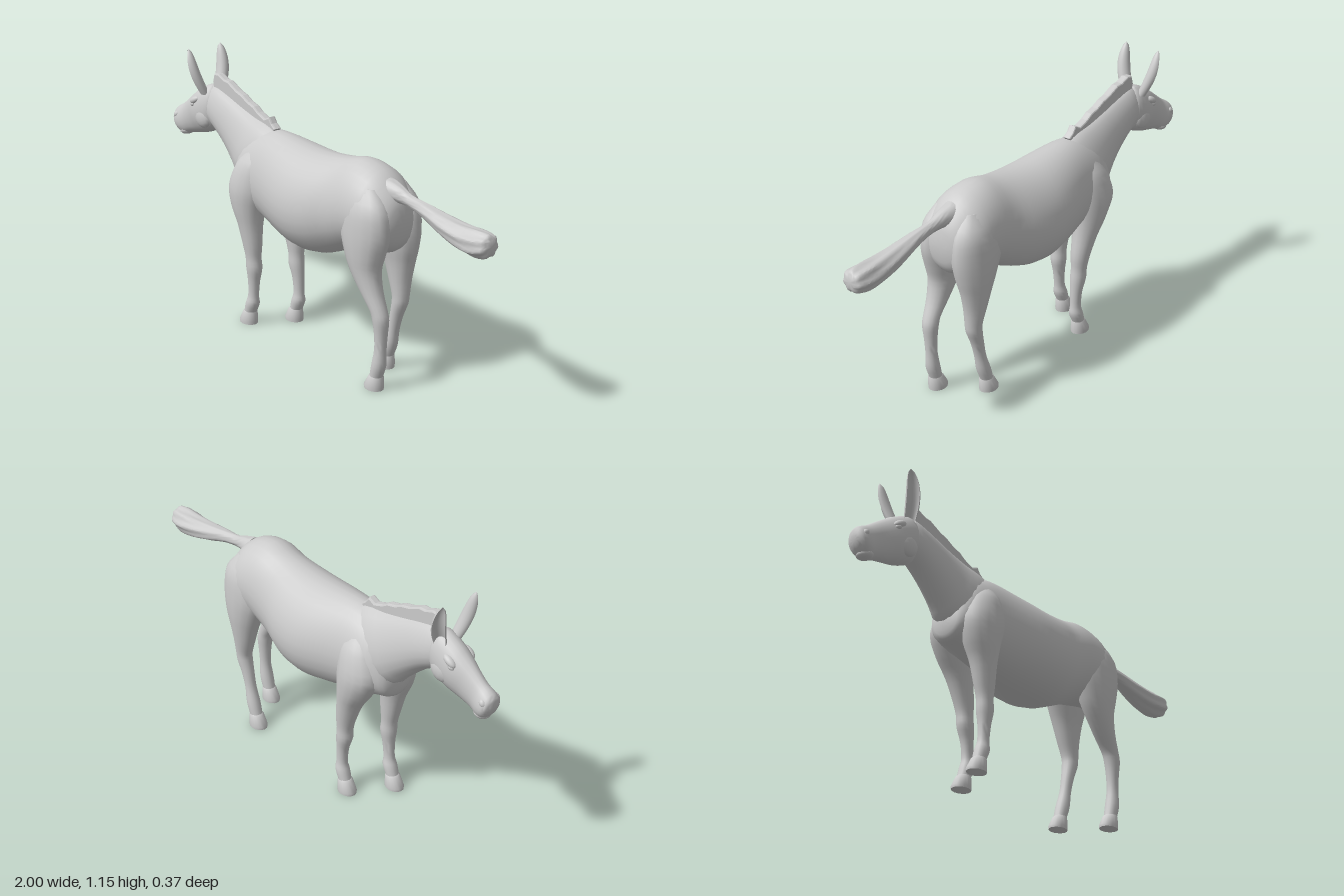
import * as THREE from 'three';
import { toCreasedNormals } from 'three/addons/utils/BufferGeometryUtils.js';
import { ParametricGeometry } from 'three/addons/geometries/ParametricGeometry.js';

const coat = new THREE.MeshStandardMaterial({ color: 0xcccccc, side: THREE.DoubleSide });
coat.name = 'grey coat';

// Skin over elliptical sections [x, y, z, radius in the xy plane, radius in z, angle of the first radius in degrees].
function loft(rows, { sides = 20, steps = 3, taper = 0, ripple = 0 } = {}) {
  const curve = (f) => new THREE.CatmullRomCurve3(rows.map(f), false, 'catmullrom', 0.5);
  const centres = curve((r) => new THREE.Vector3(r[0], r[1], r[2]));
  const sizes = curve((r) => new THREE.Vector3(r[3], r[4], r[5] * Math.PI / 180));
  const count = (rows.length - 1) * steps;
  const pos = [], index = [];
  for (let i = 0; i <= count; i++) {
    const c = centres.getPoint(i / count), s = sizes.getPoint(i / count);
    for (let j = 0; j < sides; j++) {
      const a = j / sides * Math.PI * 2;
      const wave = 1 + ripple * Math.sin(7 * a + i * 0.35) * Math.min(1, i / count * 1.5);
      const u = s.x * Math.cos(a) * wave;
      const w = s.y * Math.sin(a) * wave * (1 - taper * Math.cos(a));
      pos.push(c.x + u * Math.cos(s.z), c.y + u * Math.sin(s.z), c.z + w);
    }
  }
  for (let i = 0; i < count; i++) for (let j = 0; j < sides; j++) {
    const a = i * sides + j, b = i * sides + (j + 1) % sides;
    index.push(a, b, a + sides, b, b + sides, a + sides);
  }
  // end caps
  const first = pos.length / 3, end = count * sides;
  pos.push(...centres.getPoint(0).toArray(), ...centres.getPoint(1).toArray());
  for (let j = 0; j < sides; j++) {
    const k = (j + 1) % sides;
    index.push(first, k, j, first + 1, end + j, end + k);
  }
  // turn the faces outward
  const p = (i) => new THREE.Vector3().fromArray(pos, index[i] * 3);
  let volume = 0;
  for (let i = 0; i < index.length; i += 3) volume += p(i).dot(p(i + 1).cross(p(i + 2)));
  if (volume < 0) index.reverse();
  const g = new THREE.BufferGeometry();
  g.setAttribute('position', new THREE.Float32BufferAttribute(pos, 3));
  g.setIndex(index);
  return toCreasedNormals(g, 0.8);
}

export function createModel() {
  const model = new THREE.Group();
  model.name = 'donkey';
  const add = (name, geometry) => {
    const mesh = new THREE.Mesh(geometry, coat);
    mesh.name = name;
    model.add(mesh);
    return mesh;
  };

  // barrel, chest and rump: [x, centre height, half height, half width]
  add('body', loft([
    [-0.492, 0.64, 0.03, 0.025], [-0.475, 0.65, 0.09, 0.08], [-0.42, 0.69, 0.15, 0.115],
    [-0.34, 0.695, 0.185, 0.132], [-0.25, 0.692, 0.203, 0.145], [-0.1, 0.67, 0.215, 0.178],
    [0, 0.662, 0.218, 0.186], [0.1, 0.672, 0.213, 0.176], [0.2, 0.7, 0.2, 0.152],
    [0.3, 0.732, 0.188, 0.15], [0.4, 0.73, 0.168, 0.148], [0.465, 0.71, 0.138, 0.118],
    [0.502, 0.705, 0.09, 0.078], [0.515, 0.705, 0.03, 0.03],
  ].map(([x, y, h, w]) => [x, y, 0, h, w, 90]), { sides: 28, taper: 0.08 }));

  add('neck', loft([
    [-0.29, 0.73, 0, 0.15, 0.1, 50], [-0.39, 0.765, 0, 0.168, 0.1, 55],
    [-0.47, 0.8, 0, 0.14, 0.083, 62], [-0.55, 0.84, 0, 0.118, 0.07, 70],
    [-0.63, 0.88, 0, 0.103, 0.064, 79], [-0.7, 0.905, 0, 0.093, 0.058, 88], [-0.74, 0.9, 0, 0.07, 0.045, 95],
  ], { taper: 0.2 }));

  add('head', loft([
    [-0.685, 0.89, 0, 0.06, 0.04, 90], [-0.71, 0.897, 0, 0.1, 0.06, 95], [-0.77, 0.87, 0, 0.1, 0.064, 107],
    [-0.815, 0.847, 0, 0.093, 0.06, 110], [-0.865, 0.823, 0, 0.082, 0.047, 111],
    [-0.918, 0.798, 0, 0.07, 0.041, 111], [-0.955, 0.781, 0, 0.067, 0.047, 110],
    [-0.983, 0.775, 0, 0.052, 0.044, 108], [-0.998, 0.773, 0, 0.02, 0.018, 106],
  ]));

  // mane: thin upright crest with a ragged top
  const crest = new THREE.Shape();
  crest.moveTo(-0.7, 0.97);
  [[-0.712, 1.01], [-0.7, 1.05], [-0.67, 1.053], [-0.63, 1.036], [-0.6, 1.034], [-0.54, 1.006], [-0.5, 0.995],
    [-0.46, 0.975], [-0.42, 0.964], [-0.39, 0.945], [-0.345, 0.928], [-0.312, 0.943], [-0.295, 0.918],
    [-0.27, 0.9], [-0.3, 0.86], [-0.5, 0.9]].forEach(([x, y]) => crest.lineTo(x, y));
  const mane = new THREE.ExtrudeGeometry(crest, { depth: 0.02, bevelThickness: 0.008, bevelSize: 0.006, bevelOffset: -0.006, bevelSegments: 2 });
  add('mane', mane.translate(0, 0, -0.01));

  // tail with a grooved tuft
  add('tail', loft([
    [0.44, 0.825, 0, 0.05, 0.045, 90], [0.5, 0.822, 0, 0.035, 0.032, 85], [0.56, 0.81, 0, 0.025, 0.021, 84],
    [0.65, 0.796, 0, 0.028, 0.03, 78], [0.75, 0.772, 0, 0.038, 0.042, 78], [0.85, 0.754, 0, 0.047, 0.051, 83],
    [0.93, 0.75, 0, 0.052, 0.055, 90], [0.985, 0.754, 0, 0.045, 0.045, 92], [1, 0.755, 0, 0.025, 0.025, 92],
  ], { sides: 28, ripple: 0.08 }));

  // legs: [height, radius x, radius z, distance from the middle, x on the +z side, x on the -z side]
  const legs = {
    front: [
      [0.8, 0.05, 0.03, 0.075, -0.32, -0.32], [0.74, 0.085, 0.06, 0.083, -0.34, -0.33],
      [0.64, 0.105, 0.076, 0.088, -0.36, -0.345], [0.55, 0.085, 0.068, 0.09, -0.365, -0.325],
      [0.47, 0.06, 0.053, 0.09, -0.355, -0.295], [0.38, 0.046, 0.041, 0.088, -0.345, -0.27],
      [0.32, 0.036, 0.034, 0.087, -0.34, -0.262], [0.27, 0.037, 0.034, 0.086, -0.337, -0.258],
      [0.21, 0.028, 0.026, 0.086, -0.34, -0.247], [0.14, 0.025, 0.023, 0.086, -0.345, -0.243],
      [0.1, 0.032, 0.03, 0.086, -0.352, -0.247], [0.05, 0.028, 0.027, 0.086, -0.37, -0.265],
    ],
    hind: [
      [0.84, 0.06, 0.035, 0.07, 0.38, 0.38], [0.76, 0.113, 0.068, 0.08, 0.39, 0.39],
      [0.66, 0.125, 0.076, 0.082, 0.39, 0.39], [0.57, 0.1, 0.069, 0.086, 0.392, 0.4],
      [0.5, 0.075, 0.057, 0.089, 0.4, 0.405], [0.42, 0.053, 0.045, 0.088, 0.435, 0.41],
      [0.35, 0.038, 0.036, 0.086, 0.477, 0.418], [0.31, 0.035, 0.034, 0.085, 0.49, 0.415],
      [0.25, 0.028, 0.028, 0.084, 0.492, 0.397], [0.18, 0.025, 0.025, 0.084, 0.49, 0.38],
      [0.11, 0.031, 0.03, 0.085, 0.483, 0.362], [0.05, 0.028, 0.027, 0.085, 0.467, 0.342],
    ],
  };
  for (const [name, rows] of Object.entries(legs)) for (const side of [1, -1]) {
    const leg = rows.map(([y, rx, rz, z, xa, xb]) => [side > 0 ? xa : xb, y, z * side, rx, rz, 0]);
    add(name + 'Leg', loft(leg, { sides: 16 }));
    const [x, , z] = leg[leg.length - 1];
    add(name + 'Hoof', loft([
      [x + 0.003, 0.064, z, 0.026, 0.025, 0], [x, 0.055, z, 0.033, 0.031, 0],
      [x - 0.012, 0.012, z, 0.046, 0.037, 0], [x - 0.012, 0, z, 0.045, 0.036, 0],
    ], { sides: 16, steps: 1 }));
  }

  // ears: cupped shells open forward and outward
  const ear = new ParametricGeometry((u, v, target) => {
    const r = 0.034 * Math.pow(1 - u, 0.6) * (0.75 + 1.2 * u);
    const a = (v - 0.5) * 4.2 - 0.9;
    target.set(
      -0.745 - 0.048 * u + r * Math.cos(a),
      0.955 + 0.2 * u,
      0.042 + 0.043 * u + 0.015 * Math.sin(Math.PI * u) + r * Math.sin(a) * 0.9);
  }, 12, 14);
  // brows, eyes and nostrils: [name, x, y, z, radii, tilt]
  const bumps = [
    ['brow', -0.805, 0.912, 0.048, 0.034, 0.016, 0.018, 0.5],
    ['eye', -0.815, 0.893, 0.05, 0.018, 0.012, 0.013, 0.4],
    ['cheek', -0.755, 0.845, 0.04, 0.055, 0.05, 0.027, 0.4],
    ['nostril', -0.972, 0.805, 0.034, 0.018, 0.014, 0.014, 0.9],
  ];
  for (const side of [1, -1]) {
    add('ear', ear).scale.z = side;
    for (const [name, x, y, z, rx, ry, rz, tilt] of bumps) {
      const bump = add(name, new THREE.SphereGeometry(1, 14, 10));
      bump.position.set(x, y, z * side);
      bump.scale.set(rx, ry, rz);
      bump.rotation.z = tilt;
    }
  }
  // lower lip
  const lip = add('lowerLip', new THREE.SphereGeometry(1, 14, 10));
  lip.position.set(-0.94, 0.735, 0);
  lip.scale.set(0.035, 0.021, 0.035);
  lip.rotation.z = 0.2;
  return model;
}
